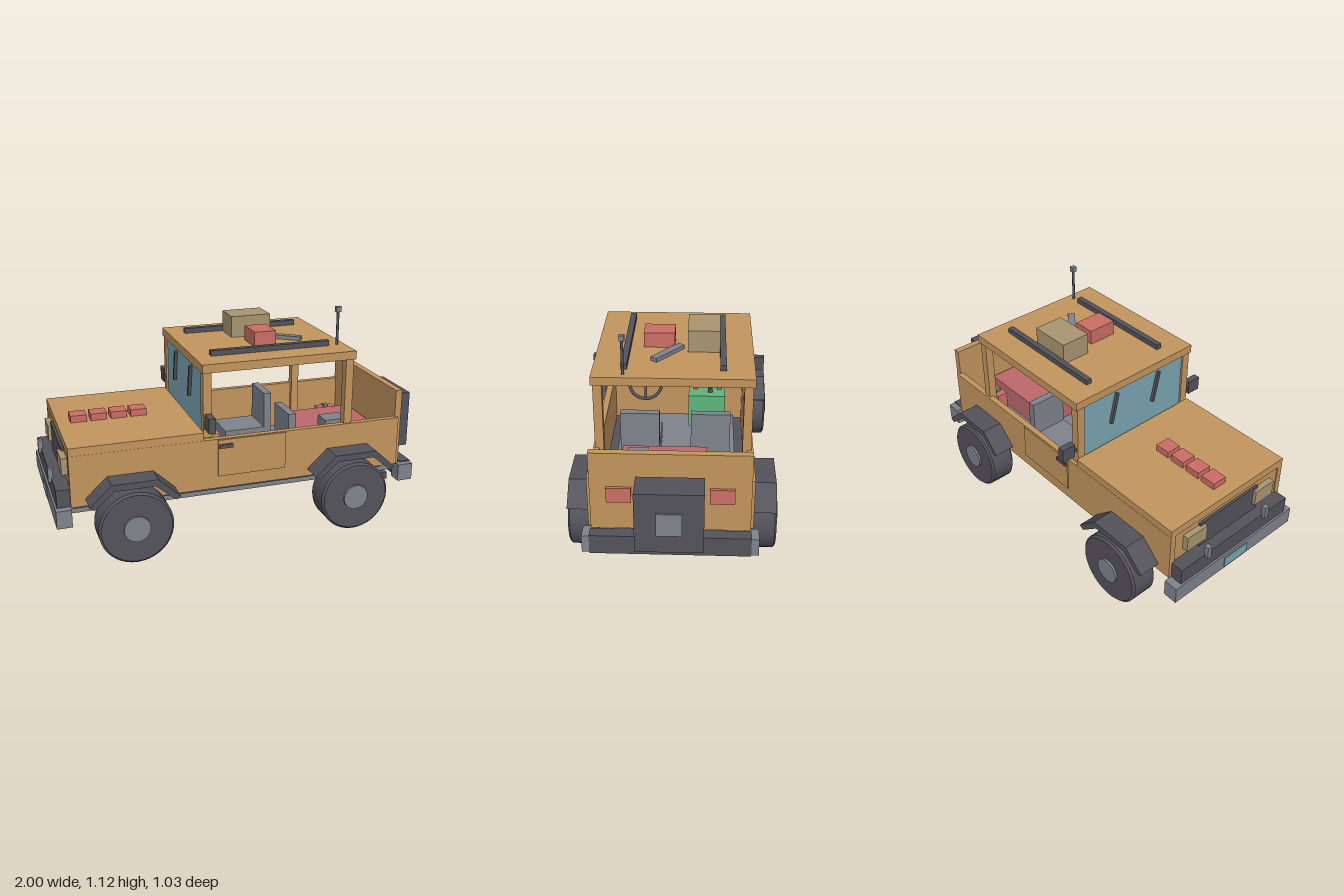
import * as THREE from 'three';

const mat = (name, color) => {
  const m = new THREE.MeshStandardMaterial({ color });
  m.name = name;
  return m;
};

export function createModel() {
  const tan = mat('sand paint', 0xc4965f), dark = mat('dark rubber', 0x55535b);
  const gray = mat('gray metal', 0x7f848c), glass = mat('blue glass', 0x7ba6b4);
  const red = mat('red', 0xcc6e65), rose = mat('rose cloth', 0xbd696c);
  const khaki = mat('khaki', 0xa99672), green = mat('green', 0x5fb57c);
  glass.side = THREE.DoubleSide;

  const car = new THREE.Group();
  car.name = 'offRoadCar';
  const add = (name, geo, m, parent = car) => {
    const mesh = new THREE.Mesh(geo, m);
    mesh.name = name;
    parent.add(mesh);
    return mesh;
  };
  // Box given by its limits on each axis
  const box = (name, m, x0, x1, y0, y1, z0, z1) => {
    const mesh = add(name, new THREE.BoxGeometry(x1 - x0, y1 - y0, z1 - z0), m);
    mesh.position.set((x0 + x1) / 2, (y0 + y1) / 2, (z0 + z1) / 2);
    return mesh;
  };
  // The same box on both sides of the car
  const pair = (name, m, x0, x1, y0, y1, z0, z1) => {
    box(name, m, x0, x1, y0, y1, z0, z1);
    box(name, m, x0, x1, y0, y1, -z1, -z0);
  };

  // Chassis
  pair('chassisRail', gray, -0.92, 0.82, 0.225, 0.28, 0.27, 0.33);
  for (const x of [-0.85, -0.38, 0.02, 0.32, 0.76]) box('crossMember', gray, x - 0.02, x + 0.02, 0.23, 0.275, -0.27, 0.27);
  box('underTray', dark, -0.91, 0.72, 0.262, 0.282, -0.36, 0.36);
  box('cabinFloor', gray, -0.26, 0.72, 0.282, 0.3, -0.31, 0.31);
  box('exhaust', dark, 0.6, 0.8, 0.157, 0.195, 0.255, 0.3);

  // Body
  box('engineBay', tan, -0.915, -0.26, 0.28, 0.54, -0.375, 0.375);
  box('hood', tan, -0.92, -0.26, 0.537, 0.58, -0.385, 0.385);
  pair('bodySide', tan, -0.92, 0.8, 0.28, 0.54, 0.355, 0.386);
  box('cowl', tan, -0.262, -0.17, 0.53, 0.555, -0.355, 0.355);
  box('tailgate', tan, 0.785, 0.82, 0.28, 0.685, -0.372, 0.372);
  pair('door', tan, -0.19, 0.165, 0.345, 0.536, 0.385, 0.393);
  pair('doorHandle', dark, -0.185, -0.115, 0.494, 0.514, 0.39, 0.402);
  pair('mirror', dark, -0.26, -0.225, 0.605, 0.68, 0.395, 0.47);
  pair('mirrorArm', dark, -0.25, -0.235, 0.62, 0.64, 0.37, 0.4);

  // Cab frame and roof
  pair('frontPillar', tan, -0.26, -0.217, 0.55, 0.88, 0.333, 0.376);
  pair('rearPillar', tan, 0.49, 0.532, 0.3, 0.88, 0.333, 0.376);
  box('roof', tan, -0.265, 0.54, 0.88, 0.923, -0.385, 0.385);
  box('windshield', glass, -0.25, -0.242, 0.555, 0.88, -0.333, 0.333);
  for (const z of [-0.14, 0.14]) {
    const wiper = box('wiper', dark, -0.268, -0.252, 0.69, 0.86, z - 0.008, z + 0.008);
    wiper.rotation.x = 0.22;
  }
  pair('roofRail', dark, -0.18, 0.45, 0.923, 0.95, 0.22, 0.25);

  // Roof load and antenna
  box('khakiCrate', khaki, 0.03, 0.245, 0.923, 1.035, -0.22, -0.062);
  box('redCase', red, 0.08, 0.195, 0.923, 1, 0.002, 0.156);
  const plank = box('plank', gray, 0.17, 0.38, 0.923, 0.943, 0.016, 0.054);
  plank.rotation.y = -0.66;
  const mast = add('antenna', new THREE.CylinderGeometry(0.007, 0.007, 0.19, 10), dark);
  mast.position.set(0.5, 1.015, 0.235);
  box('antennaTip', gray, 0.487, 0.513, 1.093, 1.12, 0.222, 0.248);

  // Hood blocks
  for (let i = 0; i < 4; i++) box('hoodBlock', red, -0.852 + i * 0.102, -0.77 + i * 0.102, 0.58, 0.615, -0.04, 0.04);

  // Nose
  box('grille', dark, -0.928, -0.91, 0.3, 0.515, -0.2, 0.2);
  pair('headlight', khaki, -0.945, -0.91, 0.415, 0.5, 0.17, 0.3);
  box('frontBumper', gray, -0.995, -0.92, 0.19, 0.28, -0.41, 0.41);
  box('bumperTop', dark, -0.985, -0.915, 0.28, 0.37, -0.37, 0.37);
  pair('bumperHook', gray, -1, -0.975, 0.35, 0.42, 0.19, 0.215);
  box('numberPlate', glass, -0.999, -0.993, 0.2, 0.26, -0.08, 0.08);

  // Tail
  box('rearBumper', dark, 0.83, 0.89, 0.186, 0.285, -0.375, 0.375);
  pair('bumperCorner', gray, 0.805, 0.887, 0.19, 0.28, 0.34, 0.41);
  pair('taillight', red, 0.815, 0.835, 0.433, 0.51, 0.18, 0.295);
  box('spareMount', dark, 0.815, 0.86, 0.36, 0.5, -0.09, 0.09);
  box('spareCase', dark, 0.853, 0.992, 0.278, 0.587, -0.156, 0.156);
  box('spareHub', gray, 0.99, 1, 0.372, 0.488, -0.058, 0.058);

  // Wheels: lathed tire with a slim bevel, hub cap through both faces
  const tireProfile = [[0, -0.07], [0.172, -0.07], [0.172, -0.07], [0.183, -0.06], [0.183, -0.06],
    [0.183, 0.06], [0.183, 0.06], [0.172, 0.07], [0.172, 0.07], [0, 0.07]].map(p => new THREE.Vector2(...p));
  const tire = new THREE.LatheGeometry(tireProfile, 40).rotateX(Math.PI / 2);
  const hub = new THREE.CylinderGeometry(0.065, 0.065, 0.162, 24).rotateX(Math.PI / 2);
  // Angular fender flare, an arch in the side plane
  const arch = new THREE.Shape([[-0.22, 0.318], [-0.112, 0.418], [0.112, 0.418], [0.22, 0.318],
    [0.195, 0.303], [0.098, 0.385], [-0.098, 0.385], [-0.195, 0.303]].map(p => new THREE.Vector2(...p)));
  const flare = new THREE.ExtrudeGeometry(arch, { depth: 0.115, bevelEnabled: false });
  for (const x of [-0.63, 0.51]) {
    for (const s of [-1, 1]) {
      const wheel = new THREE.Group();
      wheel.name = 'wheel';
      wheel.position.set(x, 0.183, s * 0.435);
      add('tire', tire, dark, wheel);
      add('hub', hub, gray, wheel);
      car.add(wheel);
      add('fenderFlare', flare, dark).position.set(x, 0, s > 0 ? 0.383 : -0.498);
    }
    const axle = add('axle', new THREE.CylinderGeometry(0.025, 0.025, 0.75, 12).rotateX(Math.PI / 2), dark);
    axle.position.set(x, 0.183, 0);
  }

  // Seats
  pair('seatCushion', gray, 0, 0.24, 0.3, 0.39, 0.08, 0.28);
  pair('seatBack', gray, 0.225, 0.265, 0.36, 0.585, 0.08, 0.28);

  // Steering wheel with three spokes and column
  const steering = new THREE.Group();
  steering.name = 'steeringWheel';
  steering.position.set(-0.172, 0.54, 0.18);
  steering.rotation.z = 0.24;
  add('rim', new THREE.TorusGeometry(0.09, 0.009, 8, 28).rotateY(Math.PI / 2), dark, steering);
  for (let i = 0; i < 3; i++) {
    const spoke = new THREE.BoxGeometry(0.01, 0.09, 0.014).translate(0, 0.045, 0).rotateX(Math.PI + i * Math.PI * 2 / 3);
    add('spoke', spoke, dark, steering);
  }
  add('column', new THREE.CylinderGeometry(0.012, 0.012, 0.1, 10).rotateZ(Math.PI / 2).translate(-0.04, 0, 0), dark, steering);
  car.add(steering);

  // Green equipment box with small knobs
  box('greenBox', green, -0.24, -0.09, 0.32, 0.505, -0.26, -0.06);
  box('redKnob', red, -0.2, -0.175, 0.505, 0.53, -0.11, -0.085);
  box('darkKnob', dark, -0.16, -0.135, 0.505, 0.53, -0.19, -0.165);
  box('redKnob', red, -0.2, -0.175, 0.505, 0.53, -0.24, -0.215);

  // Rear load
  box('mattress', rose, 0.33, 0.77, 0.3, 0.435, -0.165, 0.262);
  box('grayCase', gray, 0.46, 0.58, 0.435, 0.505, 0.12, 0.22);
  box('fuelCan', red, 0.605, 0.705, 0.3, 0.42, -0.25, -0.19);
  box('fuelCap', gray, 0.642, 0.668, 0.42, 0.435, -0.233, -0.207);
  return car;
}
